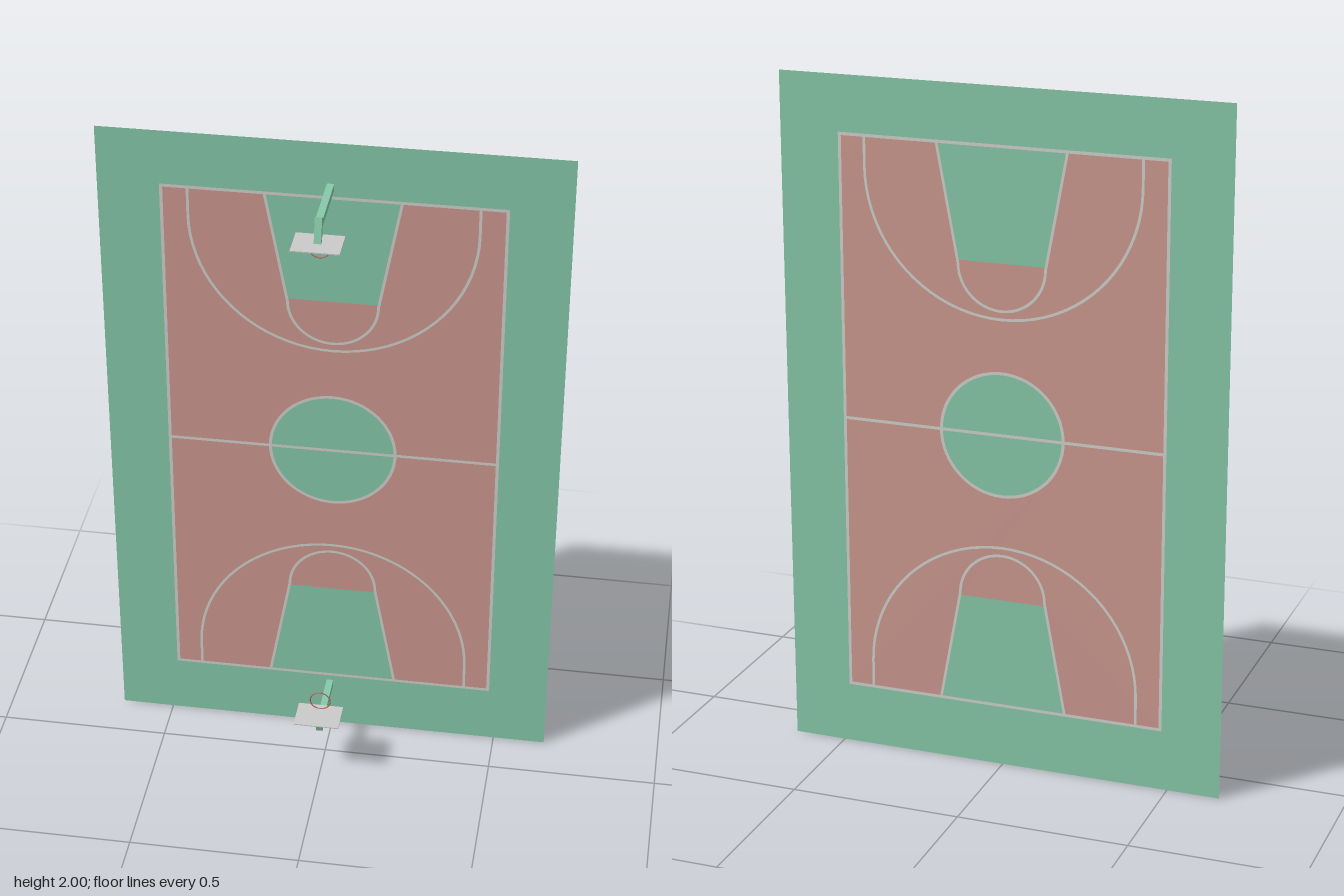
import * as THREE from 'three';

const COURT_Z = -0.138, MID_Y = 1.01, MARK = 0.0008;

const material = (name, color, side = THREE.FrontSide) => {
  const m = new THREE.MeshStandardMaterial({ color, side });
  m.name = name;
  return m;
};

const V = (x, y) => new THREE.Vector2(x, y);

// Points on an arc, angles in radians
function arc(cx, cy, r, a0, a1, n = 40) {
  return Array.from({ length: n + 1 }, (_, i) => {
    const a = a0 + (a1 - a0) * i / n;
    return V(cx + r * Math.cos(a), cy + r * Math.sin(a));
  });
}

// Flat painted line of constant width along an open path
function stripe(points, width) {
  const left = [], right = [];
  points.forEach((p, i) => {
    const a = points[Math.max(i - 1, 0)], b = points[Math.min(i + 1, points.length - 1)];
    const t = b.clone().sub(a).normalize();
    const n = V(-t.y, t.x).multiplyScalar(width / 2);
    left.push(p.clone().add(n));
    right.push(p.clone().sub(n));
  });
  return new THREE.ShapeGeometry(new THREE.Shape([...left, ...right.reverse()]));
}

function rectangle(w, h) {
  return [V(-w, -h), V(w, -h), V(w, h), V(-w, h)];
}

export function createModel() {
  const model = new THREE.Group();
  model.name = 'basketballCourt';

  const green = material('court green', 0x86c8a8, THREE.DoubleSide);
  const red = material('court red', 0xcb988f);
  const white = material('line white', 0xcfcfcc);
  const board = material('board grey', 0xc9c9c9);
  const rim = material('rim red', 0xb8665a);

  const add = (parent, name, geometry, mat, x = 0, y = 0, z = 0) => {
    const mesh = new THREE.Mesh(geometry, mat);
    mesh.name = name;
    mesh.position.set(x, y, z);
    parent.add(mesh);
    return mesh;
  };

  // Ground sheet
  add(model, 'ground', new THREE.PlaneGeometry(1.31, 2), green, 0, 1, COURT_Z);

  // Paint, repeated on both faces of the sheet
  const W = 0.477, H = 0.825, KEY_END = 0.19, KEY_TOP = 0.128, KEY_Y = 0.497;
  for (const turn of [0, Math.PI]) {
    const paint = new THREE.Group();
    paint.name = turn ? 'backPaint' : 'frontPaint';
    paint.position.set(0, MID_Y, COURT_Z);
    paint.rotation.y = turn;
    model.add(paint);

    // Red field, leaving the two keys and the centre circle green
    const field = new THREE.Shape([
      V(-W, -H), V(-KEY_END, -H), V(-KEY_TOP, -KEY_Y), V(KEY_TOP, -KEY_Y), V(KEY_END, -H), V(W, -H),
      V(W, H), V(KEY_END, H), V(KEY_TOP, KEY_Y), V(-KEY_TOP, KEY_Y), V(-KEY_END, H), V(-W, H),
    ]);
    field.holes.push(new THREE.Path(arc(0, 0, 0.18, 0, Math.PI * 2, 64).slice(0, -1)));
    add(paint, 'field', new THREE.ShapeGeometry(field), red, 0, 0, MARK);

    // Border, half-way line and centre circle
    const border = new THREE.Shape(rectangle(W + 0.004, H + 0.004));
    border.holes.push(new THREE.Path(rectangle(W - 0.005, H - 0.005)));
    add(paint, 'borderLine', new THREE.ShapeGeometry(border), white, 0, 0, MARK * 2);
    add(paint, 'halfwayLine', new THREE.PlaneGeometry(W * 2, 0.009), white, 0, 0, MARK * 2);
    add(paint, 'centreCircle', new THREE.RingGeometry(0.177, 0.186, 64), white, 0, 0, MARK * 2);

    // Arc lines at each end
    for (const end of [0, Math.PI]) {
      const half = new THREE.Group();
      half.name = end ? 'lowerLines' : 'upperLines';
      half.rotation.z = end;
      paint.add(half);
      const outer = [V(-0.403, H), ...arc(0, 0.74, 0.403, Math.PI, Math.PI * 2), V(0.403, H)];
      const key = [V(-KEY_END, H), ...arc(0, 0.489, KEY_TOP, Math.PI, Math.PI * 2), V(KEY_END, H)];
      add(half, 'threePointLine', stripe(outer, 0.008), white, 0, 0, MARK * 2);
      add(half, 'keyLine', stripe(key, 0.008), white, 0, 0, MARK * 2);
    }
  }

  // Side profile of the bent arm, z across and y up
  const armShape = new THREE.Shape([
    V(0.073, 0.808), V(0.09, 0.808), V(0.069, 0.878), V(0.055, 0.867),
  ]);

  // Hoops, mirrored end to end
  for (const end of [0, Math.PI]) {
    const hoop = new THREE.Group();
    hoop.name = end ? 'lowerHoop' : 'upperHoop';
    hoop.position.set(-0.007, MID_Y, 0);
    hoop.rotation.z = end;
    model.add(hoop);

    add(hoop, 'post', new THREE.BoxGeometry(0.02, 0.02, 0.204), green, 0, 0.857, COURT_Z + 0.102);
    const arm = new THREE.ExtrudeGeometry(armShape, { depth: 0.02, bevelEnabled: false });
    arm.translate(0, 0, -0.01).rotateY(-Math.PI / 2);
    add(hoop, 'arm', arm, green);
    add(hoop, 'backboard', new THREE.BoxGeometry(0.134, 0.003, 0.1), board, 0, 0.807, 0.086);
    add(hoop, 'rim', new THREE.TorusGeometry(0.03, 0.0018, 6, 32), rim, 0, 0.776, 0.053);
  }

  return model;
}
